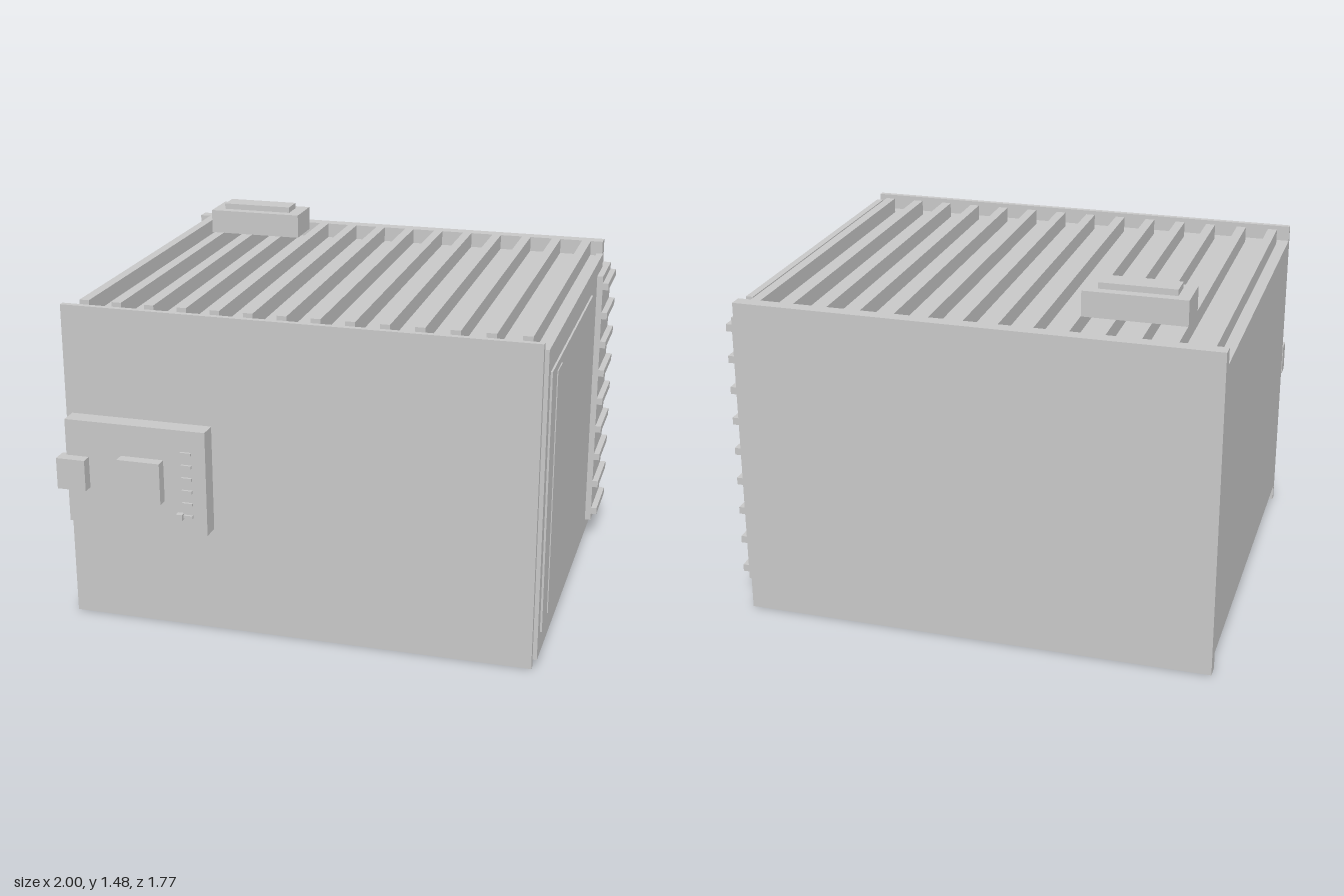
import * as THREE from 'three';

export function createModel() {
  const model = new THREE.Group();
  const grey = new THREE.MeshStandardMaterial({ color: 0xc8c8c8 });
  grey.name = 'grey';

  // Box given by its extents along x, y and z
  const box = (name, [x0, x1], [y0, y1], [z0, z1], parent = model) => {
    const mesh = new THREE.Mesh(new THREE.BoxGeometry(x1 - x0, y1 - y0, z1 - z0), grey);
    mesh.position.set((x0 + x1) / 2, (y0 + y1) / 2, (z0 + z1) / 2);
    mesh.name = name;
    parent.add(mesh);
  };
  const group = (name) => {
    const g = new THREE.Group();
    g.name = name;
    model.add(g);
    return g;
  };

  // Solid body between two end plates
  box('body', [-1, 0.932], [0.07, 1.275], [-0.828, 0.728]);
  box('frontPlate', [-1, 0.932], [0, 1.34], [0.728, 0.752]);
  box('backPlate', [-1, 0.932], [0, 1.34], [-0.884, -0.828]);

  // Ribs running along the top and the underside
  const ribs = group('ribs');
  for (let i = 0; i < 14; i++) {
    const x = -0.933 + i * 0.1378;
    for (const [y0, y1] of [[1.275, 1.34], [0, 0.07]]) {
      box('rib', [x - 0.02, x + 0.02], [y0, y1], [-0.828, 0.67], ribs);
    }
  }

  // Side wall with its door
  const side = group('sideWall');
  box('sidePanel', [0.92, 0.949], [0.03, 1.312], [-0.725, 0.728], side);
  box('sideDoor', [0.949, 0.957], [0.13, 1.212], [-0.385, 0.68], side);
  box('doorStrip', [0.957, 0.961], [0.16, 1.18], [0.46, 0.57], side);

  // Ribbed radiator on the side
  const radiator = group('radiator');
  box('radiatorBase', [0.94, 0.975], [0.09, 1.252], [-0.816, -0.558], radiator);
  for (let i = 0; i < 9; i++) {
    const y = 0.136 + i * 0.1338;
    box('radiatorRib', [0.975, 1], [y - 0.015, y + 0.015], [-0.816, -0.558], radiator);
  }

  // Control box on the front
  const control = group('controlBox');
  box('controlCase', [-0.97, -0.375], [0.45, 0.89], [0.762, 0.838], control);
  box('latch', [-0.995, -0.873], [0.606, 0.737], [0.82, 0.884], control);
  box('squareButton', [-0.733, -0.553], [0.582, 0.757], [0.838, 0.884], control);
  for (let i = 0; i < 6; i++) {
    const y = 0.527 + i * 0.0536;
    box('indicator', [-0.477, -0.433], [y - 0.006, y + 0.006], [0.838, 0.848], control);
  }
  box('smallKnob', [-0.498, -0.472], [0.514, 0.54], [0.838, 0.863], control);

  // Unit on the top
  const topUnit = group('topUnit');
  box('topCase', [-0.82, -0.408], [1.347, 1.45], [-0.678, -0.5], topUnit);
  box('topLid', [-0.77, -0.462], [1.45, 1.475], [-0.638, -0.541], topUnit);

  return model;
}
